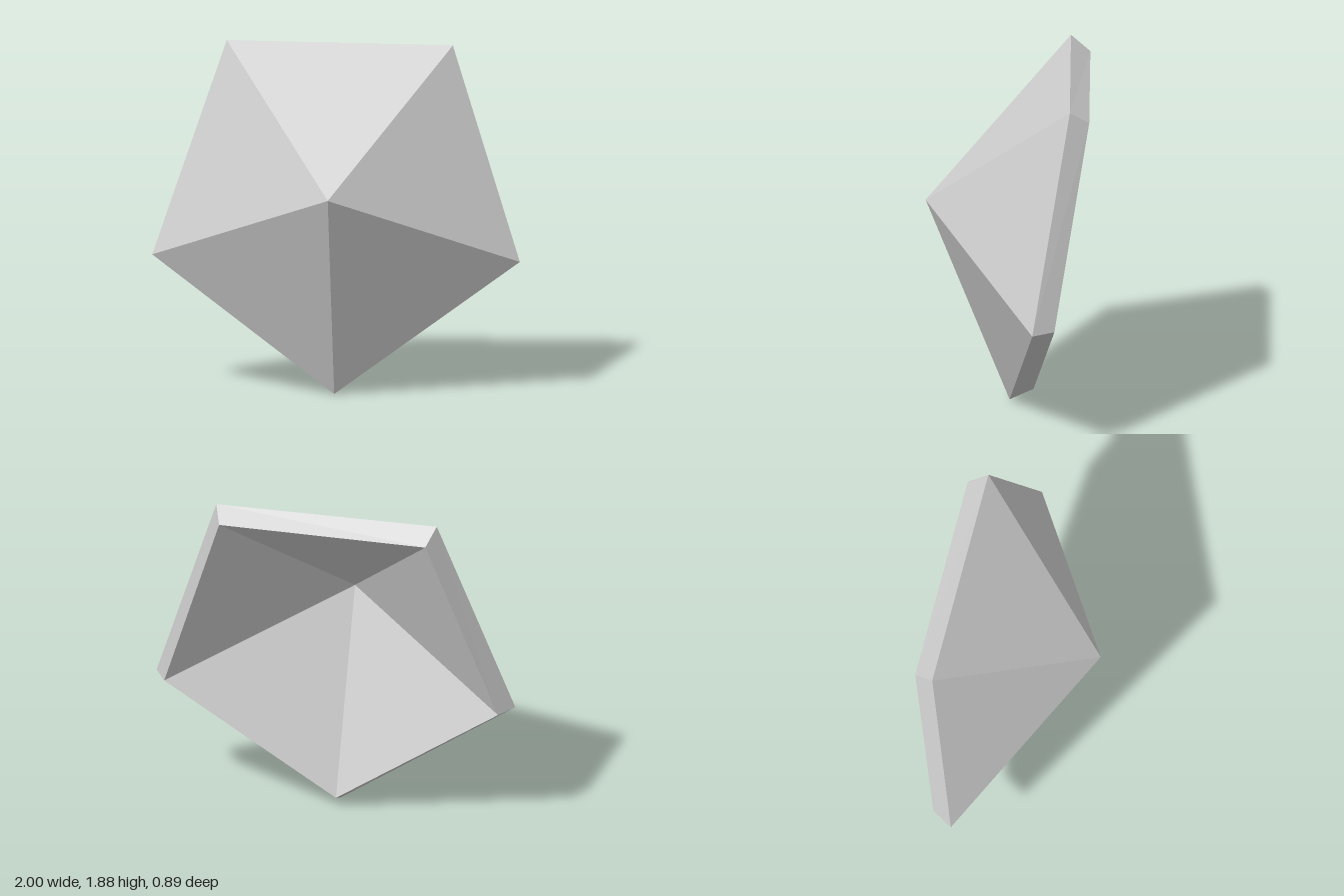
import * as THREE from 'three';

// Rim corners, anticlockwise from the front, starting at the bottom
const outerRim = [[0, 0, -0.01], [1, 0.72, -0.13], [0.62, 1.87, -0.335], [-0.61, 1.88, -0.345], [-1, 0.73, -0.145]];
const innerRim = [[0, 0.06, -0.14], [0.93, 0.72, -0.25], [0.58, 1.8, -0.44], [-0.57, 1.8, -0.45], [-0.93, 0.73, -0.26]];
const outerApex = [0, 1.15, 0.445];
const innerApex = [0, 1.13, 0.315];

// Flat-sided mesh from a rule giving the triangle corners on each of the five sides
function facets(name, material, rule) {
  const corners = [];
  for (let i = 0; i < 5; i++) corners.push(...rule(i, (i + 1) % 5));
  const geometry = new THREE.BufferGeometry();
  geometry.setAttribute('position', new THREE.Float32BufferAttribute(corners.flat(), 3));
  geometry.computeVertexNormals();
  const mesh = new THREE.Mesh(geometry, material);
  mesh.name = name;
  return mesh;
}

export function createModel() {
  const grey = new THREE.MeshStandardMaterial({ color: 0xcccccc });
  grey.name = 'light grey';

  const group = new THREE.Group();
  group.name = 'pentagonalShell';
  group.add(
    // Pointed front
    facets('outerPyramid', grey, (i, j) => [outerApex, outerRim[i], outerRim[j]]),
    // Hollow back
    facets('innerPyramid', grey, (i, j) => [innerApex, innerRim[j], innerRim[i]]),
    // Thickness of the edge
    facets('rim', grey, (i, j) => [
      outerRim[i], innerRim[i], innerRim[j],
      outerRim[i], innerRim[j], outerRim[j],
    ]),
  );
  return group;
}
